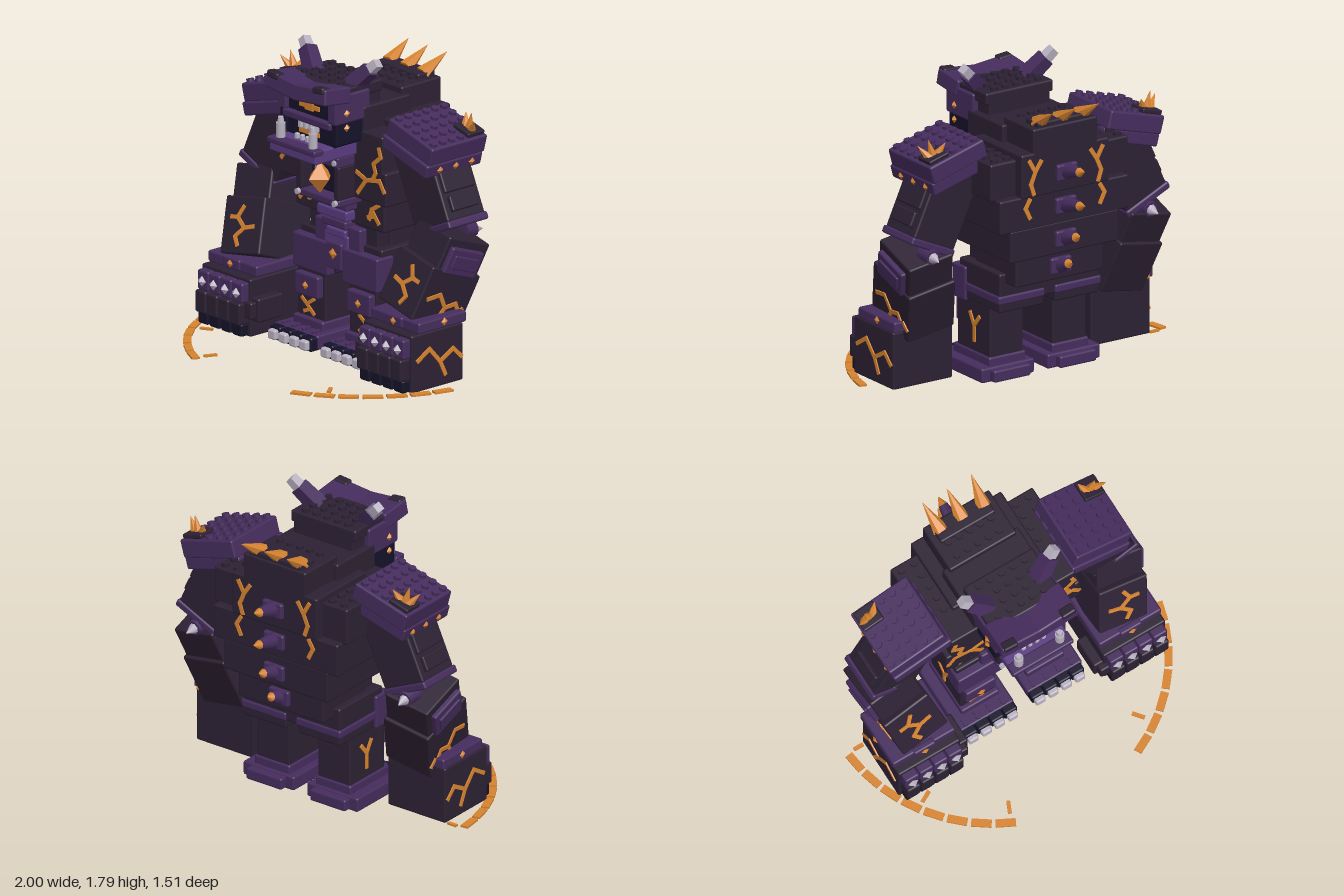
import * as THREE from 'three';
import { RoundedBoxGeometry } from 'three/addons/geometries/RoundedBoxGeometry.js';

const mat = (name, color) => Object.assign(new THREE.MeshStandardMaterial({ color }), { name });
const M = {
  stone: mat('dark stone', 0x2c2133),
  purple: mat('purple armour', 0x452c5c),
  violet: mat('light violet trim', 0x593b7f),
  orange: mat('molten orange', 0xd6832f),
  silver: mat('pale silver', 0xb9b1c1),
  navy: mat('shadow navy', 0x141229),
};
const UP = new THREE.Vector3(0, 1, 0);

function add(p, name, geo, m, x = 0, y = 0, z = 0) {
  const o = new THREE.Mesh(geo, m);
  o.name = name;
  o.position.set(x, y, z);
  p.add(o);
  return o;
}
function group(p, name, x = 0, y = 0, z = 0, rx = 0, ry = 0, rz = 0) {
  const g = new THREE.Group();
  g.name = name;
  g.position.set(x, y, z);
  g.rotation.set(rx, ry, rz);
  p.add(g);
  return g;
}
// softened block given by its extents
function box(p, name, m, x0, x1, y0, y1, z0, z1) {
  const w = x1 - x0, h = y1 - y0, d = z1 - z0;
  const r = Math.min(0.012, Math.min(w, h, d) * 0.3);
  return add(p, name, new RoundedBoxGeometry(w, h, d, 2, r), m, (x0 + x1) / 2, (y0 + y1) / 2, (z0 + z1) / 2);
}
// tapered rod between two points; four or six sides are faceted
function rod(p, name, m, a, b, r0, r1, sides = 8) {
  const A = new THREE.Vector3(...a), B = new THREE.Vector3(...b), d = B.clone().sub(A);
  let geo = new THREE.CylinderGeometry(r1, r0, d.length(), sides).rotateY(Math.PI / sides);
  if (sides < 8) {
    geo = geo.toNonIndexed();
    geo.computeVertexNormals();
  }
  const o = add(p, name, geo, m);
  o.position.copy(A).add(B).multiplyScalar(0.5);
  o.quaternion.setFromUnitVectors(UP, d.normalize());
}
// grid of round studs standing on height y
function studs(p, m, x0, x1, nx, z0, z1, nz, y, r = 0.022) {
  const geo = new THREE.CylinderGeometry(r, r, 0.024, 12);
  for (let i = 0; i < nx; i++) for (let j = 0; j < nz; j++)
    add(p, 'stud', geo, m, x0 + (x1 - x0) * i / (nx - 1), y + 0.006, z0 + (z1 - z0) * j / (nz - 1));
}
// glowing crack: flat strips along 2D polylines in the parent's xy plane
function crack(p, lines, w = 0.024) {
  for (const l of lines) for (let i = 0; i + 3 < l.length; i += 2) {
    const dx = l[i + 2] - l[i], dy = l[i + 3] - l[i + 1];
    const o = add(p, 'crack', new THREE.BoxGeometry(Math.hypot(dx, dy) + w * 0.6, w, 0.009), M.orange, l[i] + dx / 2, l[i + 1] + dy / 2, 0);
    o.rotation.z = Math.atan2(dy, dx);
  }
}
// faceted gem
function gem(p, name, m, x, y, z, sx, sy, sz) {
  add(p, name, new THREE.OctahedronGeometry(1), m, x, y, z).scale.set(sx, sy, sz);
}

function buildTorso(root) {
  const t = group(root, 'torso');
  box(t, 'pelvis', M.stone, -0.285, 0.285, 0.48, 0.77, -0.4, -0.02);
  box(t, 'lowerBack', M.stone, -0.3, 0.3, 0.6, 0.8, -0.5, -0.1);
  box(t, 'abdomen', M.stone, -0.37, 0.37, 0.77, 0.96, -0.55, 0.01);
  box(t, 'midChest', M.stone, -0.44, 0.44, 0.95, 1.15, -0.55, 0.06);
  box(t, 'upperChest', M.stone, -0.41, 0.41, 1.13, 1.36, -0.5, 0.06);
  box(t, 'shoulderBlock', M.stone, -0.47, 0.47, 1.14, 1.36, -0.5, -0.08);
  box(t, 'upperBack', M.stone, -0.3, 0.3, 1.14, 1.4, -0.56, -0.1);
  box(t, 'hump', M.stone, -0.22, 0.22, 1.36, 1.54, -0.56, -0.26);
  box(t, 'neck', M.stone, -0.25, 0.25, 1.34, 1.5, -0.3, 0.05);
  studs(t, M.stone, -0.42, 0.42, 11, -0.46, -0.14, 5, 1.36);
  studs(t, M.stone, -0.14, 0.14, 5, -0.5, -0.32, 3, 1.54);
  // chest chamber with crystal
  box(t, 'chamber', M.navy, -0.135, 0.135, 0.95, 1.15, 0.05, 0.1);
  gem(t, 'crystal', M.orange, 0, 1.05, 0.16, 0.075, 0.095, 0.085);
  box(t, 'chamberTop', M.purple, -0.18, 0.18, 1.145, 1.21, 0.04, 0.19);
  box(t, 'chamberBase', M.purple, -0.18, 0.18, 0.91, 0.955, 0, 0.18);
  // belly bands
  [[0.145, 0.86, 0.91], [0.125, 0.79, 0.85], [0.1, 0.73, 0.78], [0.08, 0.67, 0.72]].forEach(([w, y0, y1], i) =>
    box(t, 'bellyBand', i % 2 ? M.violet : M.purple, -w, w, y0, y1, -0.04, 0.09 - i * 0.015));
  box(t, 'beltPlate', M.violet, -0.1, 0.1, 0.54, 0.69, -0.05, 0.04);
  box(t, 'beltDrop', M.purple, -0.065, 0.065, 0.48, 0.64, -0.05, 0.06);
  gem(t, 'beltGem', M.orange, 0, 0.575, 0.064, 0.034, 0.034, 0.015);
  for (const s of [1, -1]) {
    box(t, 'chamberSide', M.stone, s * 0.155 - 0.022, s * 0.155 + 0.022, 0.95, 1.15, 0.04, 0.18);
    gem(t, 'chamberGem', M.violet, s * 0.1, 1.07, 0.1, 0.015, 0.02, 0.012);
    for (const y of [0.935, 1.175]) rod(t, 'bolt', M.silver, [s * 0.155, y, 0.17], [s * 0.155, y, 0.2], 0.017, 0.017);
    // front and back cracks
    const f = group(t, 'chestCracks', 0, 0, 0.063);
    f.scale.x = s;
    crack(f, [[0.385, 1.29, 0.4, 1.24, 0.34, 1.19, 0.355, 1.15], [0.21, 0.99, 0.28, 1.08, 0.39, 1.1, 0.43, 1.04], [0.28, 1.08, 0.2, 1.11], [0.33, 1.09, 0.36, 1.14]]);
    const a = group(t, 'abdomenCracks', 0, 0, 0.013);
    a.scale.x = s;
    crack(a, [[0.33, 0.93, 0.27, 0.89, 0.33, 0.82], [0.27, 0.89, 0.25, 0.83], [0.3, 0.855, 0.24, 0.84]]);
    const b = group(t, 'backCracks', 0, 0, -0.563);
    b.scale.x = s;
    crack(b, [[0.25, 1.36, 0.21, 1.29, 0.24, 1.22, 0.22, 1.16], [0.21, 1.29, 0.17, 1.35]]);
    const c = group(t, 'lowerBackCracks', 0, 0, -0.553);
    c.scale.x = s;
    crack(c, [[0.24, 1.13, 0.27, 1.08, 0.24, 1.02]]);
  }
  // spine spikes and crest
  [[0.69, -0.49, -0.62], [0.865, -0.54, -0.7], [1.06, -0.54, -0.75], [1.26, -0.55, -0.745]].forEach(([y, z, e]) => {
    box(t, 'spineBlock', M.purple, -0.07, 0.07, y - 0.05, y + 0.045, z - 0.035, z + 0.05);
    const n = z + (e - z) * 0.74;
    rod(t, 'spineSpike', M.purple, [0, y, z - 0.02], [0, y + 0.025, n], 0.05, 0.028);
    rod(t, 'spineTip', M.orange, [0, y + 0.025, n], [0, y + 0.04, e], 0.028, 0.002);
  });
  box(t, 'crestBase', M.stone, -0.18, 0.18, 1.5, 1.57, -0.55, -0.42);
  for (const x of [-0.14, 0, 0.14])
    rod(t, 'crestSpike', M.orange, [x, 1.55, -0.49], [x * 1.15, 1.65, -0.655], 0.047, 0.001, 6);
}

function buildHead(root) {
  const h = group(root, 'head');
  box(h, 'skull', M.stone, -0.21, 0.21, 1.3, 1.61, -0.11, 0.2);
  box(h, 'skullCap', M.stone, -0.23, 0.23, 1.56, 1.63, -0.11, 0.2);
  studs(h, M.stone, -0.15, 0.15, 5, -0.07, 0.14, 4, 1.63);
  box(h, 'visor', M.navy, -0.19, 0.19, 1.42, 1.56, 0.15, 0.235);
  box(h, 'eyeBar', M.orange, -0.085, 0.085, 1.472, 1.5, 0.236, 0.244);
  box(h, 'eyeCore', M.orange, -0.035, 0.035, 1.462, 1.51, 0.237, 0.246);
  box(h, 'upperLip', M.purple, -0.2, 0.2, 1.39, 1.435, 0.1, 0.27);
  box(h, 'mouth', M.navy, -0.2, 0.2, 1.28, 1.41, 0.05, 0.235);
  box(h, 'mouthGlow', M.orange, -0.085, 0.085, 1.318, 1.345, 0.236, 0.244);
  box(h, 'jaw', M.violet, -0.195, 0.195, 1.21, 1.29, 0.04, 0.37);
  box(h, 'jawRim', M.purple, -0.2, 0.2, 1.26, 1.295, 0.31, 0.385);
  for (const x of [-0.066, -0.022, 0.022, 0.066]) {
    box(h, 'lowerTooth', M.silver, x - 0.013, x + 0.013, 1.28, 1.322, 0.26, 0.285);
    box(h, 'upperTooth', M.silver, x - 0.015, x + 0.015, 1.347, 1.395, 0.23, 0.26);
  }
  for (const s of [1, -1]) {
    box(h, 'cheek', M.purple, s * 0.21 - 0.035, s * 0.21 + 0.035, 1.43, 1.6, 0, 0.265);
    box(h, 'jawHinge', M.navy, s * 0.21 - 0.028, s * 0.21 + 0.028, 1.3, 1.44, 0.05, 0.25);
    for (const y of [1.405, 1.49]) gem(h, 'cheekGem', M.orange, s * 0.247, y, 0.18, 0.016, 0.023, 0.023);
    const b = group(h, 'brow', s * 0.12, 1.595, 0.25, -0.12, 0, s * 0.1);
    box(b, 'browPlate', M.purple, -0.13, 0.13, -0.05, 0.045, -0.1, 0.1);
    box(b, 'browCorner', M.stone, s * 0.075 - 0.045, s * 0.075 + 0.045, 0.015, 0.055, 0.05, 0.11);
    rod(h, 'tusk', M.silver, [s * 0.135, 1.28, 0.335], [s * 0.135, 1.38, 0.335], 0.028, 0.028);
    rod(h, 'tuskTip', M.silver, [s * 0.135, 1.38, 0.335], [s * 0.135, 1.415, 0.335], 0.021, 0.016);
    rod(h, 'horn', M.purple, [s * 0.16, 1.61, 0.06], [s * 0.265, 1.72, 0.015], 0.062, 0.055, 4);
    rod(h, 'hornTip', M.silver, [s * 0.262, 1.717, 0.015], [s * 0.31, 1.765, 0], 0.04, 0.036, 4);
  }
}

function buildLeg(l) {
  box(l, 'thigh', M.stone, 0.04, 0.34, 0.43, 0.66, -0.4, 0);
  box(l, 'thighPlate', M.purple, 0.06, 0.355, 0.42, 0.62, -0.08, 0.05);
  box(l, 'hipPlate', M.purple, 0.08, 0.19, 0.54, 0.75, -0.06, 0.03);
  box(l, 'thighBand', M.purple, 0.035, 0.35, 0.48, 0.53, -0.41, -0.05);
  box(l, 'shin', M.stone, 0.1, 0.33, 0.08, 0.44, -0.29, 0.03);
  box(l, 'kneePlate', M.purple, 0.12, 0.315, 0.27, 0.4, -0.05, 0.07);
  gem(l, 'kneeGem', M.orange, 0.22, 0.335, 0.074, 0.026, 0.026, 0.014);
  box(l, 'ankle', M.purple, 0.09, 0.34, 0.08, 0.14, -0.3, 0.06);
  box(l, 'foot', M.purple, 0.045, 0.405, 0.005, 0.09, -0.32, 0.14);
  box(l, 'heel', M.purple, 0.1, 0.35, 0.01, 0.08, -0.365, -0.28);
  studs(l, M.purple, 0.1, 0.35, 4, 0.085, 0.115, 2, 0.085, 0.016);
  for (let i = 0; i < 4; i++) {
    const x = 0.09 + i * 0.087;
    box(l, 'toe', M.navy, x - 0.042, x + 0.042, 0.003, 0.085, 0.12, 0.185);
    box(l, 'toeClaw', M.silver, x - 0.031, x + 0.031, 0.012, 0.07, 0.17, 0.215);
  }
  crack(group(l, 'shinCracks', 0, 0, 0.033), [[0.19, 0.25, 0.25, 0.21, 0.19, 0.16], [0.25, 0.21, 0.29, 0.24], [0.22, 0.185, 0.27, 0.165]], 0.021);
  crack(group(l, 'calfCracks', 0.333, 0, 0, 0, Math.PI / 2, 0), [[0.14, 0.2, 0.14, 0.29, 0.1, 0.36], [0.14, 0.29, 0.19, 0.35]]);
}

function buildArm(a) {
  // shoulder pad
  const p = group(a, 'shoulderPad', 0.605, 1.37, -0.17, 0, 0, -0.27);
  box(p, 'padPlate', M.purple, -0.19, 0.19, -0.05, 0.06, -0.215, 0.205);
  box(p, 'padRim', M.purple, -0.2, 0.195, -0.125, -0.045, -0.2, 0.22);
  studs(p, M.purple, -0.15, 0.15, 5, -0.175, 0.165, 6, 0.06);
  box(p, 'spikeBase', M.stone, 0.04, 0.175, 0.06, 0.088, -0.2, -0.075);
  for (const z of [-0.12, 0, 0.12]) gem(p, 'padGem', M.orange, 0.197, -0.085, z, 0.014, 0.024, 0.024);
  [[0.03, 0.135, -0.17], [0.11, 0.18, -0.13], [0.17, 0.16, -0.1]].forEach(([x, y, z]) =>
    rod(p, 'padSpike', M.orange, [0.11 + (x - 0.11) * 0.35, 0.07, -0.135], [x, y, z], 0.03, 0.001, 6));
  // upper arm
  const u = group(a, 'upperArm', 0.635, 1.09, -0.17, 0, 0, 0.43);
  box(u, 'upperArmBlock', M.stone, -0.15, 0.15, -0.22, 0.24, -0.14, 0.14);
  box(u, 'upperArmPlate', M.stone, 0.12, 0.17, -0.06, 0.12, -0.115, 0.115);
  box(u, 'upperArmInset', M.stone, 0.14, 0.175, -0.17, -0.08, -0.1, 0.1);
  box(u, 'elbowBand', M.purple, -0.155, 0.16, -0.26, -0.215, -0.15, 0.15);
  // forearm
  const f = group(a, 'forearm', 0.705, 0.62, -0.085, -0.35, 0, -0.2);
  box(f, 'elbowBlock', M.stone, -0.145, 0.145, 0.02, 0.25, -0.17, 0.15);
  box(f, 'forearmBlock', M.stone, -0.155, 0.155, -0.27, 0.06, -0.19, 0.19);
  box(f, 'forearmGuard', M.purple, 0.13, 0.175, 0.04, 0.2, -0.13, 0.12);
  box(f, 'guardRidge', M.purple, 0.165, 0.188, 0.08, 0.16, -0.1, 0.09);
  crack(group(f, 'forearmCracks', 0, 0, 0.193), [[0, 0.0, 0.04, -0.06, -0.02, -0.12, 0.045, -0.17, 0.02, -0.22], [-0.02, -0.12, -0.09, -0.11], [0.04, -0.06, 0.09, -0.06]]);
  crack(group(f, 'forearmSideCracks', 0.158, 0, 0, 0, Math.PI / 2, 0), [[-0.137, -0.129, -0.058, -0.09, 0.015, -0.16, 0.083, -0.125, 0.116, -0.16], [0.015, -0.16, 0.0, -0.21], [0.14, -0.15, 0.182, -0.18]]);
  rod(a, 'elbowMount', M.purple, [0.74, 0.83, -0.24], [0.745, 0.82, -0.33], 0.06, 0.045);
  rod(a, 'elbowSpike', M.silver, [0.745, 0.82, -0.32], [0.75, 0.81, -0.39], 0.036, 0.003);
  // wrist
  box(a, 'wrist', M.purple, 0.475, 0.885, 0.345, 0.41, -0.15, 0.21);
  box(a, 'wristPlate', M.purple, 0.61, 0.75, 0.35, 0.415, 0.18, 0.222);
  gem(a, 'wristGem', M.orange, 0.683, 0.383, 0.225, 0.025, 0.025, 0.013);
  gem(a, 'wristSideGem', M.orange, 0.887, 0.383, 0.02, 0.013, 0.025, 0.025);
  // fist
  box(a, 'fist', M.stone, 0.472, 0.88, 0.005, 0.345, -0.13, 0.26);
  for (let i = 0; i < 4; i++) {
    const x = 0.533 + i * 0.095;
    box(a, 'knuckle', M.purple, x - 0.045, x + 0.045, 0.21, 0.325, 0.23, 0.31);
    gem(a, 'knuckleStud', M.silver, x, 0.265, 0.314, 0.032, 0.032, 0.026);
    box(a, 'finger', M.stone, x - 0.043, x + 0.043, 0.08, 0.21, 0.23, 0.33);
    box(a, 'fingertip', M.navy, x - 0.04, x + 0.04, 0.01, 0.085, 0.23, 0.31);
  }
  box(a, 'thumb', M.stone, 0.415, 0.49, 0.1, 0.24, 0.06, 0.25);
  box(a, 'thumbTip', M.stone, 0.435, 0.5, 0.12, 0.22, 0.22, 0.29);
  crack(group(a, 'fistSideCracks', 0.883, 0, 0, 0, Math.PI / 2, 0), [[-0.22, 0.19, -0.13, 0.245, -0.05, 0.155, -0.01, 0.07], [-0.05, 0.155, 0.05, 0.21, 0.11, 0.15]]);
}

// broken glowing ring on the ground, with short offshoots
function buildGroundRing(root) {
  const g = group(root, 'groundRing', 0, 0.006, -0.17);
  const piece = (x, z, len, w, a) => {
    add(g, 'ringSegment', new THREE.BoxGeometry(len, 0.012, w), M.orange, x, 0, z).rotation.y = a;
  };
  for (const s of [1, -1]) for (let i = s > 0 ? 1 : 0; i < 8; i++) {
    const t = (7.5 + i * 7.9) * Math.PI / 180;
    piece(s * 0.99 * Math.cos(t), 0.99 * Math.sin(t), 0.115, 0.046, s * (Math.PI / 2 - t));
  }
  piece(-0.387, 0.81, 0.075, 0.022, 1.15);
  piece(-0.752, 0.51, 0.075, 0.022, 0.5);
  piece(-0.917, 0.06, 0.06, 0.022, 0);
  piece(0.518, 0.725, 0.075, 0.022, -0.9);
}

export function createModel() {
  const root = new THREE.Group();
  root.name = 'blockGolem';
  const body = group(root, 'body', 0.012, 0, 0);
  buildTorso(body);
  buildHead(body);
  for (const [side, s] of [['left', 1], ['right', -1]]) {
    const leg = group(body, side + 'Leg'), arm = group(body, side + 'Arm');
    buildLeg(leg);
    buildArm(arm);
    leg.scale.x = arm.scale.x = s;
  }
  buildGroundRing(body);
  return root;
}
